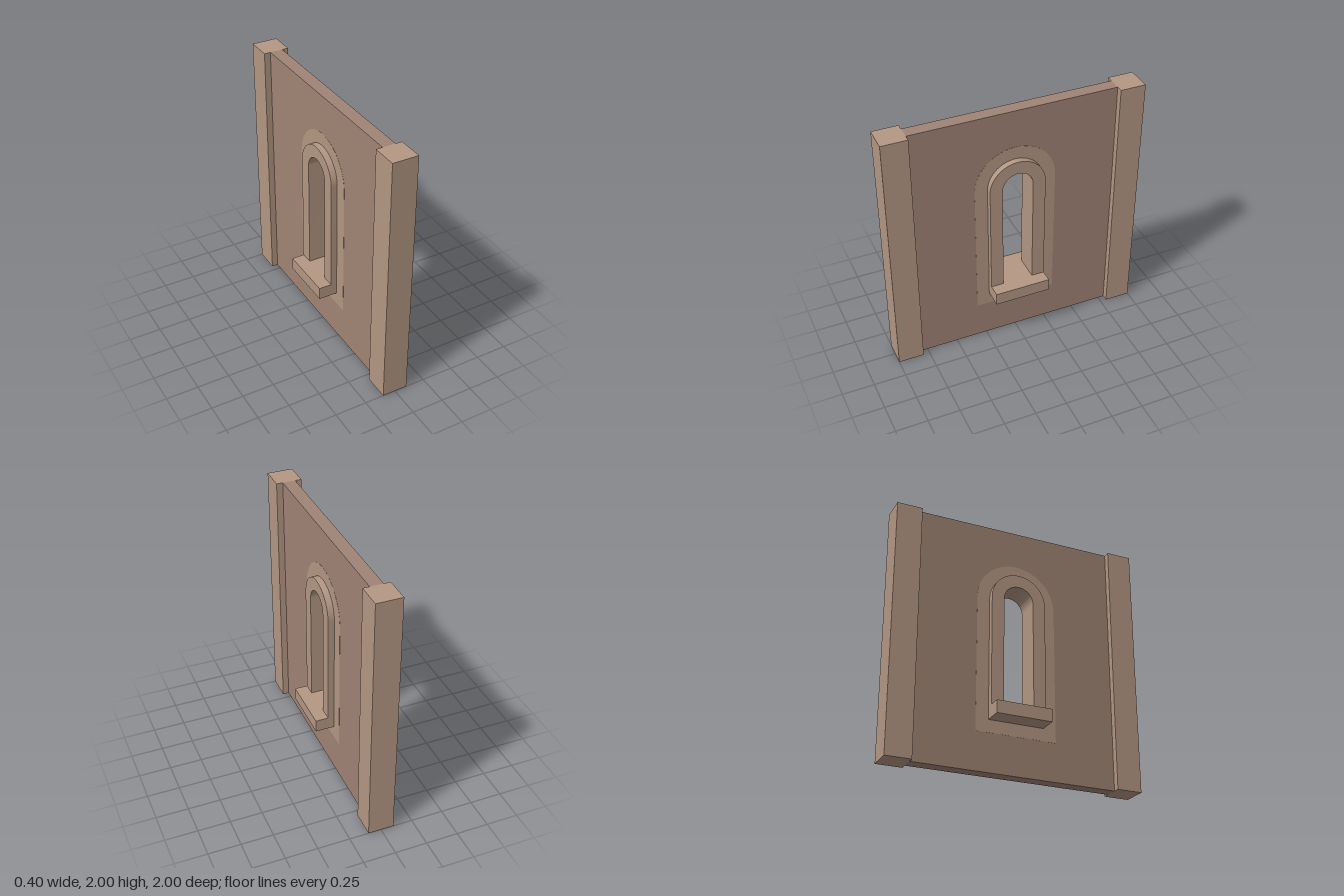
import * as THREE from 'three';
import { toCreasedNormals } from 'three/addons/utils/BufferGeometryUtils.js';

const SPRING = 1.38; // height where the arches begin

// Round-headed outline, symmetric about the middle
function archPath(path, half, bottom) {
  path.moveTo(-half, bottom);
  path.lineTo(half, bottom);
  path.lineTo(half, SPRING);
  path.absarc(0, SPRING, half, 0, Math.PI, false);
  path.closePath();
  return path;
}

// Extrudes a shape through the wall thickness (along x), centred
function slab(shape, depth) {
  const geo = new THREE.ExtrudeGeometry(shape, { depth, bevelEnabled: false, curveSegments: 32 });
  geo.translate(0, 0, -depth / 2);
  geo.rotateY(Math.PI / 2);
  return toCreasedNormals(geo, 0.6);
}

export function createModel() {
  const group = new THREE.Group();
  const stone = new THREE.MeshStandardMaterial({ color: 0xb39783 });
  const plaster = new THREE.MeshStandardMaterial({ color: 0xa08475 });

  const add = (name, geo, mat, x = 0, y = 0, z = 0) => {
    const mesh = new THREE.Mesh(geo, mat);
    mesh.name = name;
    mesh.position.set(x, y, z);
    group.add(mesh);
    return mesh;
  };

  // Wall panel; its opening edge is buried inside the window frame
  const wall = new THREE.Shape();
  wall.moveTo(-0.8, 0);
  wall.lineTo(0.8, 0);
  wall.lineTo(0.8, 2);
  wall.lineTo(-0.8, 2);
  wall.closePath();
  wall.holes.push(archPath(new THREE.Path(), 0.17, 0.45));
  add('wall', slab(wall, 0.1), plaster);

  // Pale band around the window, practically flush with the wall
  const band = archPath(new THREE.Shape(), 0.32, 0.3);
  band.holes.push(archPath(new THREE.Path(), 0.19, 0.43));
  add('windowBand', slab(band, 0.102), stone);

  // Raised arched frame
  const frame = archPath(new THREE.Shape(), 0.22, 0.4);
  frame.holes.push(archPath(new THREE.Path(), 0.12, 0.45));
  add('windowFrame', slab(frame, 0.2), stone);

  // Sill projecting on both faces
  add('windowSill', new THREE.BoxGeometry(0.4, 0.1, 0.44), stone, 0, 0.45, 0);

  // End posts
  for (const s of [1, -1]) {
    add(s > 0 ? 'frontPost' : 'backPost', new THREE.BoxGeometry(0.2, 2, 0.2), stone, 0, 1, 0.9 * s);
  }
  return group;
}
